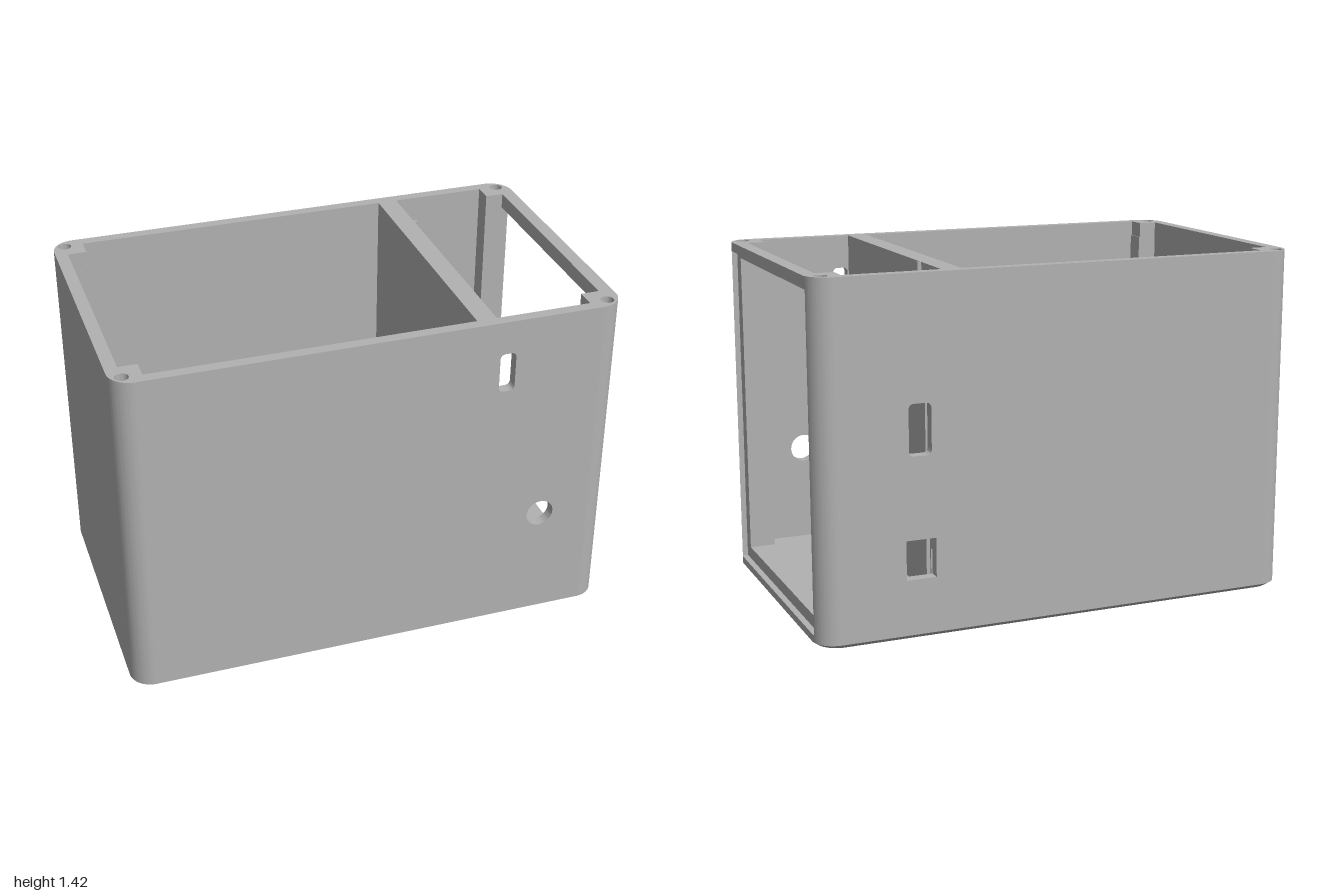
import * as THREE from 'three';
import { toCreasedNormals } from 'three/addons/utils/BufferGeometryUtils.js';

const grey = new THREE.MeshStandardMaterial({ color: 0xb2b2b2 });
grey.name = 'grey plastic';
const P = Math.PI;

function poly(points, Type = THREE.Shape) {
  return new Type(points.map(([x, y]) => new THREE.Vector2(x, y)));
}
function rect(x0, y0, x1, y1, Type) {
  return poly([[x0, y0], [x1, y0], [x1, y1], [x0, y1]], Type);
}
function circle(x, y, r, Type = THREE.Path) {
  const c = new Type();
  c.absarc(x, y, r, 0, 2 * P, false);
  return c;
}
function slot(x0, y0, x1, y1, r) {
  const s = new THREE.Path();
  s.absarc(x1 - r, y0 + r, r, -P / 2, 0, false);
  s.absarc(x1 - r, y1 - r, r, 0, P / 2, false);
  s.absarc(x0 + r, y1 - r, r, P / 2, P, false);
  s.absarc(x0 + r, y0 + r, r, P, 1.5 * P, false);
  s.closePath();
  return s;
}

export function createModel() {
  const model = new THREE.Group();
  model.name = 'enclosure';

  const add = (name, geometry) => {
    const mesh = new THREE.Mesh(toCreasedNormals(geometry, 0.6), grey);
    mesh.name = name;
    model.add(mesh);
    return mesh;
  };
  const extrude = (shape, depth) =>
    new THREE.ExtrudeGeometry(shape, { depth, bevelEnabled: false, curveSegments: 24 });
  // plan shape (x, -z) raised from y0 to y1
  const layer = (name, shape, y0, y1, holes = []) => {
    shape.holes.push(...holes);
    return add(name, extrude(shape, y1 - y0).rotateX(-P / 2).translate(0, y0, 0));
  };
  const box = (name, x0, x1, y0, y1, z0, z1) =>
    add(name, new THREE.BoxGeometry(x1 - x0, y1 - y0, z1 - z0)
      .translate((x0 + x1) / 2, (y0 + y1) / 2, (z0 + z1) / 2));

  // Rounded plan outline; notched where the side cover sits in its recess
  const outline = (notched) => {
    const s = new THREE.Shape(), a = notched ? 0.224 : 0;
    s.absarc(0.91, -0.51, 0.09, -P / 2, -a, false);
    if (notched) s.lineTo(0.975, -0.53).lineTo(0.975, 0.53);
    s.absarc(0.91, 0.51, 0.09, a, P / 2, false);
    s.absarc(-0.91, 0.51, 0.09, P / 2, P, false);
    s.absarc(-0.91, -0.51, 0.09, P, 1.5 * P, false);
    s.closePath();
    return s;
  };
  const hx = -0.205; // centre of the large floor hole

  // Floor layers, the lowest one chamfered
  const base = layer('chamferedBase', outline(false), 0.013, 0.03,
    [circle(hx, 0, 0.425), slot(-0.89, -0.48, -0.85, 0.48, 0.02)]);
  const pos = base.geometry.attributes.position;
  for (let i = 0; i < pos.count; i++) {
    const x = pos.getX(i), z = pos.getZ(i);
    if (pos.getY(i) < 0.02 && (Math.abs(x) > 0.9 || Math.abs(z) > 0.505)) {
      pos.setX(i, x * 0.98);
      pos.setZ(i, z * 0.967);
    }
  }
  base.geometry = toCreasedNormals(base.geometry, 0.6);
  layer('lowerFloor', outline(false), 0.03, 0.06, [circle(hx, 0, 0.425)]);
  layer('upperFloor', outline(true), 0.06, 0.11, [circle(hx, 0, 0.455)]);

  // Underside panel and ring feet
  layer('bottomPanel', rect(-0.8, -0.52, 0.88, 0.52), 0.009, 0.014, [circle(hx, 0, 0.425)]);
  layer('largeRingFoot', circle(hx, 0, 0.5, THREE.Shape), 0, 0.014, [circle(hx, 0, 0.46)]);
  layer('smallRingFoot', circle(0.555, 0, 0.195, THREE.Shape), 0, 0.014, [circle(0.555, 0, 0.165)]);

  // Rim layers around the two compartments, with screw holes
  const rimHoles = () => {
    const holes = [
      poly([[-0.95, -0.475], [-0.875, -0.475], [-0.875, -0.555], [0.405, -0.555], [0.405, 0.555],
        [-0.875, 0.555], [-0.875, 0.475], [-0.95, 0.475]], THREE.Path),
      poly([[0.485, -0.555], [0.87, -0.555], [0.87, -0.475], [0.945, -0.475], [0.945, 0.475],
        [0.87, 0.475], [0.87, 0.555], [0.485, 0.555]], THREE.Path)];
    for (const x of [-0.95, 0.945])
      for (const z of [-0.55, 0.55]) holes.push(circle(x, z, 0.026));
    return holes;
  };
  layer('lowerRim', outline(true), 1.355, 1.38, rimHoles());
  layer('topRim', outline(false), 1.38, 1.417, rimHoles());

  // Corner posts, mirrored to all four corners
  for (const sx of [-1, 1]) {
    const corner = new THREE.Shape();
    corner.moveTo(0.87, 0.475);
    if (sx > 0) corner.lineTo(0.975, 0.475).lineTo(0.975, 0.53);
    else corner.lineTo(1, 0.475);
    corner.absarc(0.91, 0.51, 0.09, sx > 0 ? 0.224 : 0, P / 2, false);
    corner.lineTo(0.87, 0.6);
    const points = corner.getPoints(16);
    for (const sz of [-1, 1])
      layer('cornerPost', poly(points.map((p) => [p.x * sx, p.y * sz])), 0.11, 1.355);
  }

  // Long walls with their ports
  const longWall = (name, z, holes) => {
    const s = rect(-0.87, 0.11, 0.87, 1.355);
    s.holes.push(...holes);
    add(name, extrude(s, 0.045).translate(0, 0, z));
  };
  longWall('frontWall', 0.555, [slot(0.49, 1.115, 0.555, 1.28, 0.02), circle(0.705, 0.505, 0.057)]);
  longWall('backWall', -0.6, [slot(0.545, 0.73, 0.635, 0.93, 0.02),
    rect(0.53, 0.25, 0.65, 0.405, THREE.Path)]);
  box('leftEndWall', -1, -0.95, 0.11, 1.355, -0.475, 0.475);

  // Divider with a cable opening near the back wall
  const divider = rect(-0.555, 0.11, 0.555, 1.355);
  divider.holes.push(rect(0.42, 0.155, 0.54, 0.305, THREE.Path));
  add('divider', extrude(divider, 0.08).rotateY(P / 2).translate(0.405, 0, 0));

  // Board rails on the divider
  box('upperRail', 0.485, 0.5, 1, 1.015, -0.345, 0.555);
  box('upperRailUpright', 0.485, 0.5, 1.015, 1.417, -0.345, -0.33);
  box('lowerRail', 0.485, 0.5, 0.93, 0.95, -0.41, 0.45);
  box('lowerRailUpright', 0.485, 0.5, 0.11, 0.93, -0.41, -0.39);
  box('lowerRailUpright', 0.485, 0.5, 0.11, 0.93, 0.43, 0.45);
  box('railClip', 0.485, 0.512, 0.93, 0.958, -0.417, -0.39);
  box('railClip', 0.485, 0.512, 0.93, 0.958, 0.428, 0.455);

  // Horseshoe cradle over the floor hole
  const cradle = new THREE.Shape();
  cradle.moveTo(-0.95, -0.335);
  cradle.lineTo(-0.205, -0.335);
  cradle.lineTo(-0.205, -0.285);
  cradle.absarc(-0.205, 0, 0.285, -P / 2, P / 2, true);
  cradle.lineTo(-0.205, 0.335);
  cradle.lineTo(-0.95, 0.335);
  cradle.closePath();
  layer('cradle', cradle, 0.11, 0.45);

  return model;
}
